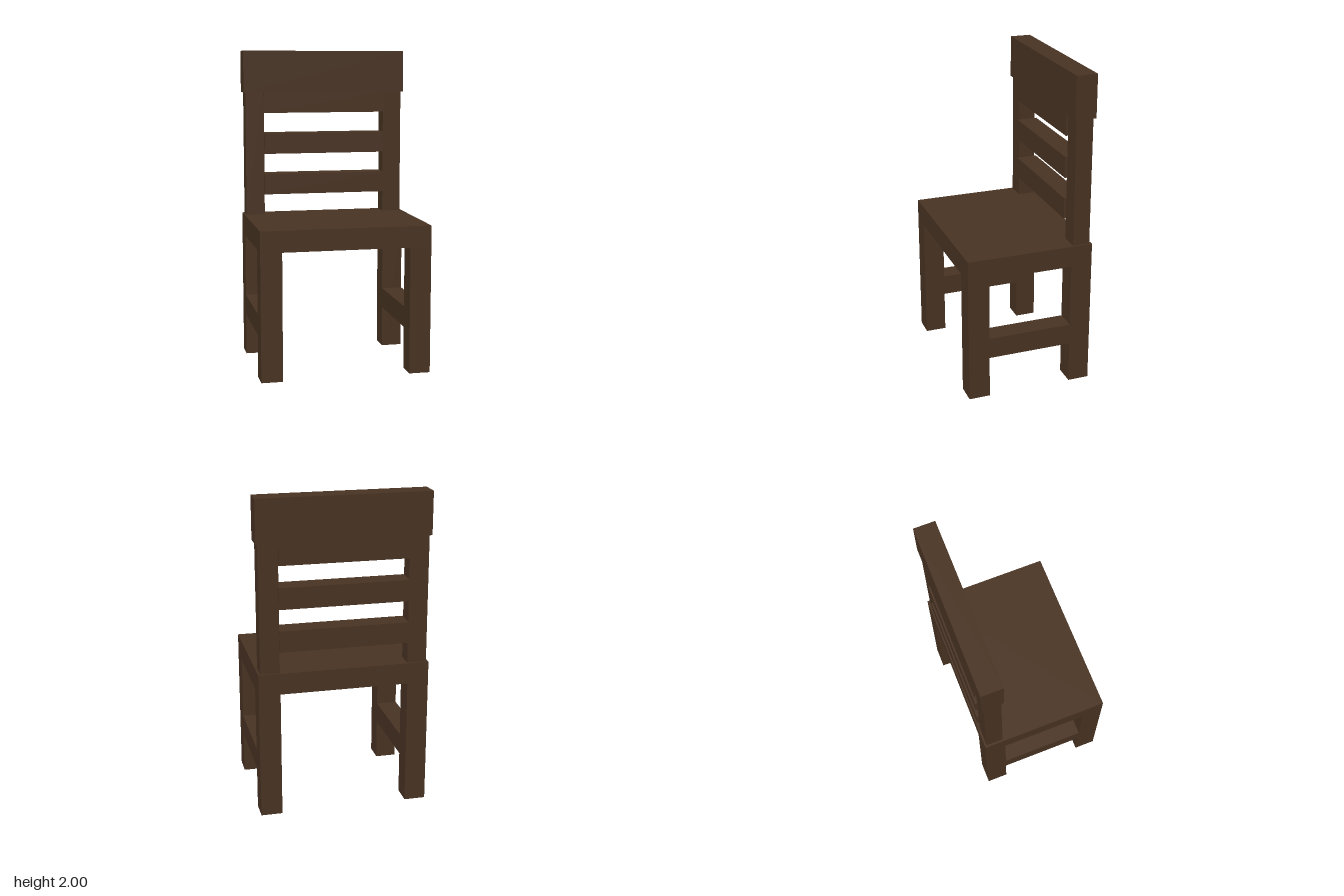
import * as THREE from 'three';

export function createModel() {
  const chair = new THREE.Group();
  chair.name = 'chair';
  const wood = new THREE.MeshStandardMaterial({ color: 0x4a3423 });
  wood.name = 'dark wood';

  const U = 2 / 15; // thickness of every beam
  const W = 4 * U;  // half width
  const D = 3 * U;  // half depth

  // Box between two opposite corners
  function beam(name, x0, x1, y0, y1, z0, z1) {
    const mesh = new THREE.Mesh(new THREE.BoxGeometry(x1 - x0, y1 - y0, z1 - z0), wood);
    mesh.position.set((x0 + x1) / 2, (y0 + y1) / 2, (z0 + z1) / 2);
    mesh.name = name;
    chair.add(mesh);
  }

  beam('seat', -W, W, 6 * U, 7 * U, -D, D);

  // Legs, side stretchers and slimmer back posts, mirrored left and right
  for (const [side, s] of [['left', 1], ['right', -1]]) {
    const inner = s * (W - U), outer = s * W, post = s * (W - 0.013);
    const x0 = Math.min(inner, outer), x1 = Math.max(inner, outer);
    beam(side + 'FrontLeg', x0, x1, 0, 6 * U, D - U, D);
    beam(side + 'BackLeg', x0, x1, 0, 6 * U, -D, U - D);
    beam(side + 'Stretcher', x0, x1, 2 * U, 3 * U, U - D, D - U);
    beam(side + 'BackPost', Math.min(inner, post), Math.max(inner, post),
      7 * U, 13 * U, 0.013 - D, U - D - 0.013);
  }

  // Slats between the posts
  for (const y of [8, 10]) {
    beam('backSlat', U - W, W - U, y * U, (y + 1) * U, -D, U - D);
  }

  // Headboard: wide upper board with a narrower lower edge between the posts
  beam('headboard', -W, W, 13 * U, 15 * U, -D, U - D);
  beam('headboardLowerEdge', U - W, W - U, 12 * U, 13 * U, -D, U - D);

  return chair;
}
